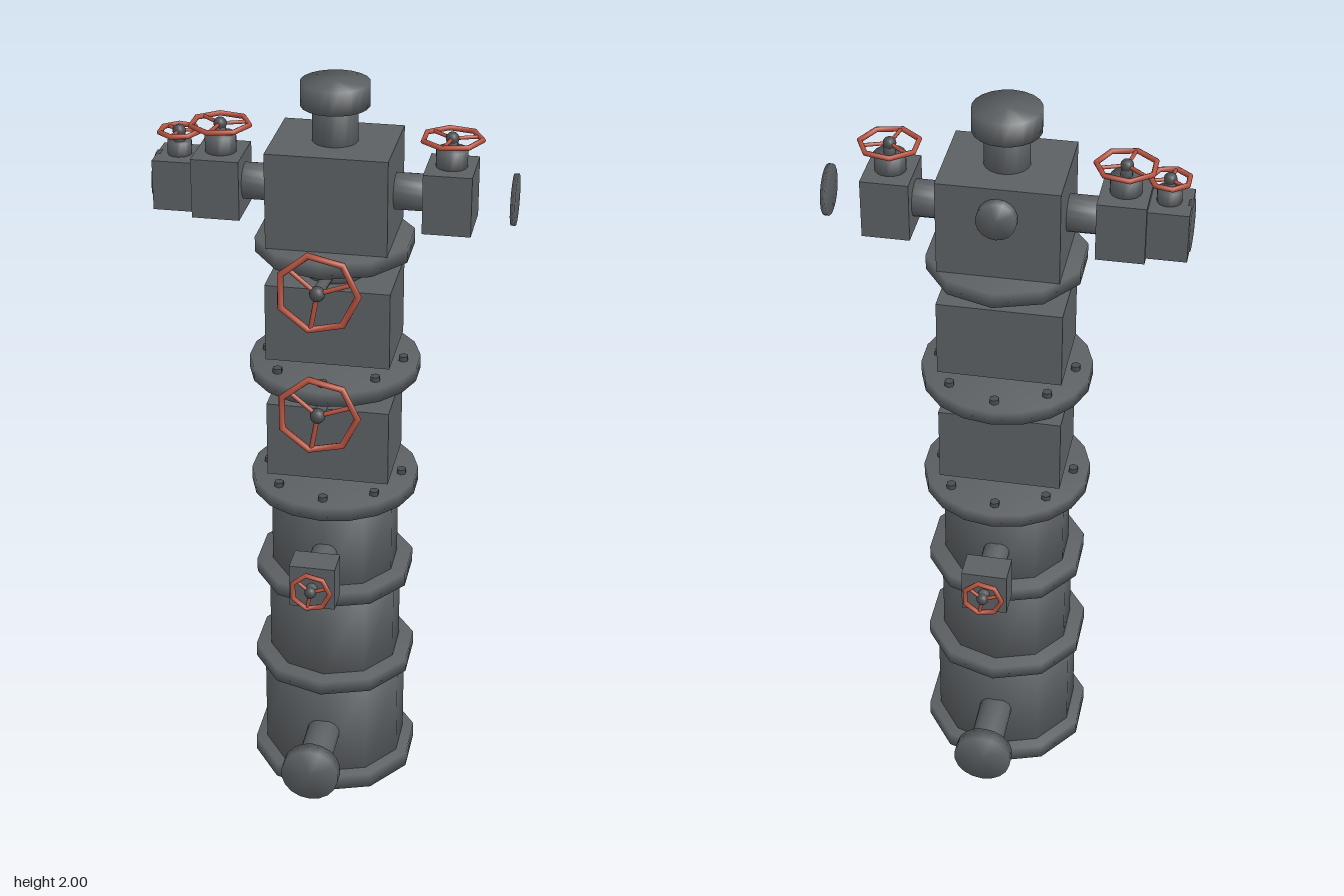
import * as THREE from 'three';
import { mergeVertices } from 'three/addons/utils/BufferGeometryUtils.js';

const steel = new THREE.MeshStandardMaterial({ color: 0x5c6063 });
steel.name = 'gunmetal steel';
const dark = new THREE.MeshStandardMaterial({ color: 0x4a4d50 });
dark.name = 'dark steel';
const red = new THREE.MeshStandardMaterial({ color: 0xb5523f });
red.name = 'handwheel red';

export function createModel() {
  const root = new THREE.Group();
  root.name = 'wellheadTree';

  function add(name, geo, mat, x, y, z, parent = root) {
    const mesh = new THREE.Mesh(geo, mat);
    mesh.name = name;
    mesh.position.set(x, y, z);
    parent.add(mesh);
    return mesh;
  }

  // Cylinder with welded, softly shaded rims
  function softCylinder(r, h, sides) {
    const g = new THREE.CylinderGeometry(r, r, h, sides);
    g.deleteAttribute('uv');
    g.deleteAttribute('normal');
    const welded = mergeVertices(g, 1e-4);
    welded.computeVertexNormals();
    return welded;
  }

  // Upright, x-axis and z-axis cylinders given by their end coordinates
  const upright = (name, r, y0, y1, sides = 20, x = 0, z = 0) =>
    add(name, softCylinder(r, y1 - y0, sides), steel, x, (y0 + y1) / 2, z);
  const alongX = (name, r, x0, x1, y) =>
    add(name, softCylinder(r, Math.abs(x1 - x0), 18).rotateZ(Math.PI / 2), steel, (x0 + x1) / 2, y, 0);
  const alongZ = (name, r, z0, z1, y) =>
    add(name, softCylinder(r, Math.abs(z1 - z0), 18).rotateX(Math.PI / 2), steel, 0, y, (z0 + z1) / 2);
  const block = (name, w, h, d, x, y, z) =>
    add(name, new THREE.BoxGeometry(w, h, d), steel, x, y, z);

  // Straight rod between two points
  function rod(name, a, b, r, mat, parent) {
    const dir = b.clone().sub(a);
    const mid = a.clone().add(b).multiplyScalar(0.5);
    const mesh = add(name, new THREE.CylinderGeometry(r, r, dir.length(), 8), mat, mid.x, mid.y, mid.z, parent);
    mesh.quaternion.setFromUnitVectors(new THREE.Vector3(0, 1, 0), dir.normalize());
  }

  // Seven-sided handwheel facing local +z, with three spokes and a hub
  function handwheel(name, outer, tube, hub, x, y, z) {
    const g = new THREE.Group();
    g.name = name;
    g.position.set(x, y, z);
    add('wheelRim', new THREE.TorusGeometry(outer - tube, tube, 8, 7), red, 0, 0, 0, g);
    for (let i = 0; i < 3; i++) {
      const a = THREE.MathUtils.degToRad(20 + 120 * i);
      const end = new THREE.Vector3(Math.cos(a), Math.sin(a), 0).multiplyScalar((outer - tube) * 0.93);
      rod('wheelSpoke', new THREE.Vector3(), end, tube * 0.7, red, g);
    }
    add('wheelHub', new THREE.SphereGeometry(hub, 12, 8), dark, 0, 0, 0, g);
    root.add(g);
    return g;
  }

  // Casing barrels and their ten-sided flanges
  upright('baseFlange', 0.228, 0, 0.045, 10);
  upright('lowerBarrel', 0.197, 0.045, 0.33, 10);
  upright('lowerFlange', 0.222, 0.325, 0.365, 10);
  upright('middleBarrel', 0.181, 0.36, 0.61, 10);
  upright('middleFlange', 0.215, 0.605, 0.645, 10);
  upright('upperBarrel', 0.172, 0.64, 0.885, 10);

  // Bolted flanges
  for (const y of [0.88, 1.217]) {
    upright('boltedFlange', 0.223, y, y + 0.038, 18);
    for (let i = 0; i < 8; i++) {
      const a = (i * Math.PI) / 4;
      add('flangeBolt', new THREE.CylinderGeometry(0.013, 0.013, 0.026, 6), dark,
        0.18 * Math.sin(a), y + 0.038, 0.18 * Math.cos(a));
    }
  }

  // Master valves with tilted stems
  for (const y of [0.945, 1.283]) {
    block('masterValveBody', 0.322, 0.208, 0.23, 0, y + 0.104, 0);
    upright('masterBonnet', 0.075, y + 0.208, y + 0.25);
    rod('masterStem', new THREE.Vector3(0, y + 0.228, 0), new THREE.Vector3(0, y + 0.257, 0.235), 0.015, steel, root);
    handwheel('masterHandwheel', 0.111, 0.009, 0.02, 0, y + 0.257, 0.245);
  }

  // Tree cross, top neck and cap
  upright('treeFlange', 0.205, 1.56, 1.6, 10);
  block('treeBlock', 0.308, 0.25, 0.26, 0, 1.724, 0);
  upright('topNeck', 0.058, 1.845, 1.945);
  upright('topCap', 0.087, 1.94, 2);
  alongZ('rearPlug', 0.05, -0.12, -0.155, 1.773);

  // Upright valve stem with a horizontal handwheel
  function topWheel(x, y0, y1, bonnetR, bonnetTop, outer) {
    upright('wingBonnet', bonnetR, y0, bonnetTop, 16, x);
    upright('wingStem', 0.015, bonnetTop, y1, 10, x);
    handwheel('wingHandwheel', outer, 0.007, 0.017, x, y1, 0).rotation.x = -Math.PI / 2;
  }

  // Wing valves and end discs on both sides
  for (const s of [-1, 1]) {
    alongX('wingNeck', 0.047, s * 0.15, s * 0.24, 1.725);
    block('wingValveBody', 0.122, 0.155, 0.152, s * 0.292, 1.723, 0);
    topWheel(s * 0.292, 1.8, 1.872, 0.04, 1.845, 0.082);
    alongX('wingEndDisc', 0.065, s * 0.446, s * 0.458, 1.723);
  }

  // Second valve on the right wing
  block('outerValveBody', 0.103, 0.13, 0.13, -0.4035, 1.721, 0);
  topWheel(-0.398, 1.785, 1.846, 0.031, 1.82, 0.057);

  // Side valves and outlets at front and back
  for (const s of [-1, 1]) {
    alongZ('casingNeck', 0.035, s * 0.15, s * 0.26, 0.742);
    block('casingValveBody', 0.12, 0.12, 0.078, 0, 0.742, s * 0.294);
    alongZ('casingStem', 0.015, s * 0.33, s * 0.357, 0.742);
    const wheel = handwheel('casingHandwheel', 0.058, 0.007, 0.016, 0, 0.742, s * 0.355);
    if (s < 0) wheel.rotation.y = Math.PI;
    alongZ('outletPipe', 0.045, s * 0.17, s * 0.35, 0.172);
    alongZ('outletFlange', 0.078, s * 0.345, s * 0.385, 0.172);
  }

  return root;
}
